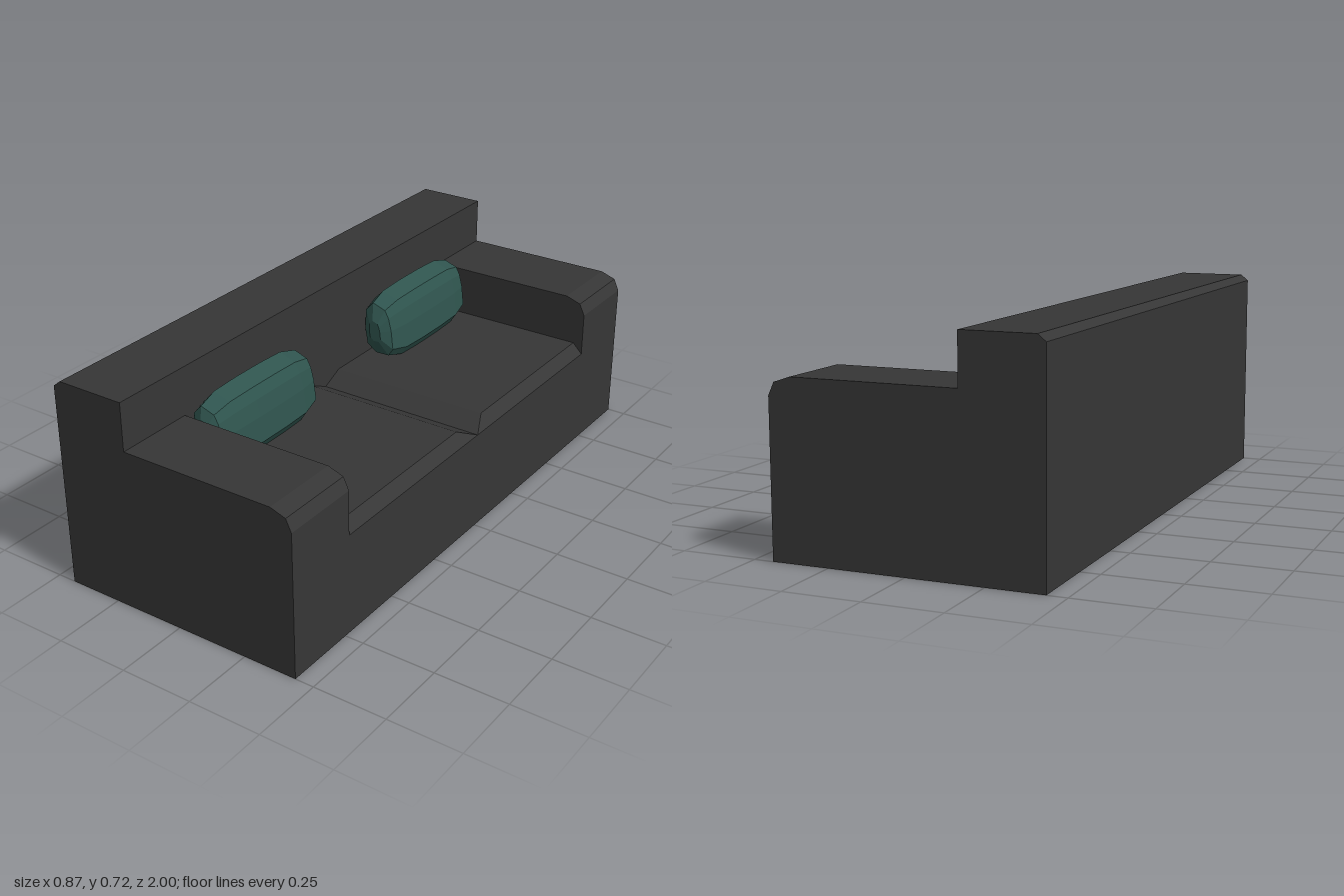
import * as THREE from 'three';

const upholstery = new THREE.MeshStandardMaterial({ color: 0x363636, flatShading: true });
upholstery.name = 'charcoal upholstery';
const teal = new THREE.MeshStandardMaterial({ color: 0x2f544e, flatShading: true });
teal.name = 'dark teal fabric';

const BACK = -0.436, FRONT = 0.436, BACK_FACE = -0.173, ARM = 0.727, SEAT = 0.345;

function part(name, geometry, material) {
  const mesh = new THREE.Mesh(geometry, material);
  mesh.name = name;
  return mesh;
}

// Extrudes a side profile (x, y) along z from z0 to z1
function profileAlongZ(points, z0, z1) {
  const shape = new THREE.Shape(points.map(([x, y]) => new THREE.Vector2(x, y)));
  const g = new THREE.ExtrudeGeometry(shape, { depth: z1 - z0, bevelEnabled: false });
  return g.translate(0, 0, z0);
}

// Seat cushion: a box whose top slopes in at the front and at the middle seam
function seatCushion(side) {
  const height = 0.036;
  const g = new THREE.BoxGeometry(FRONT - BACK_FACE, height, ARM);
  g.translate((FRONT + BACK_FACE) / 2, SEAT + height / 2, side * ARM / 2);
  const p = g.attributes.position;
  for (let i = 0; i < p.count; i++) {
    if (p.getY(i) < SEAT + 0.01) continue;
    if (p.getX(i) > 0) p.setX(i, FRONT - 0.035);
    if (Math.abs(p.getZ(i)) < 0.01) p.setZ(i, side * 0.078);
  }
  g.computeVertexNormals();
  return g;
}

// Faceted pillow: one leaning cross-section, scaled ring by ring along z
function pillow() {
  const cx = -0.105, cy = 0.495;
  const section = [
    [-0.032, 0.415], [-0.042, 0.5], [-0.056, 0.555], [-0.075, 0.59], [-0.137, 0.611],
    [-0.174, 0.57], [-0.178, 0.48], [-0.165, 0.41], [-0.12, 0.378], [-0.055, 0.38],
  ];
  const rings = [[-0.262, 0.32], [-0.236, 0.8], [-0.165, 0.97], [-0.06, 1],
    [0.06, 1], [0.165, 0.97], [0.236, 0.8], [0.262, 0.32]];
  const n = section.length, positions = [], index = [];
  for (const [z, s] of rings)
    for (const [x, y] of section) positions.push(cx + (x - cx) * s, cy + (y - cy) * s, z);
  for (let i = 0; i < rings.length - 1; i++)
    for (let j = 0; j < n; j++) {
      const a = i * n + j, b = i * n + (j + 1) % n;
      index.push(a, b, b + n, a, b + n, a + n);
    }
  const last = (rings.length - 1) * n;
  for (let j = 1; j < n - 1; j++) index.push(0, j + 1, j, last, last + j, last + j + 1);
  const g = new THREE.BufferGeometry();
  g.setAttribute('position', new THREE.Float32BufferAttribute(positions, 3));
  g.setIndex(index);
  const flat = g.toNonIndexed();
  flat.computeVertexNormals();
  return flat;
}

export function createModel() {
  const sofa = new THREE.Group();
  sofa.name = 'sofa';

  // Backrest with a chamfered rear top edge
  sofa.add(part('backrest', profileAlongZ([
    [BACK, 0], [BACK_FACE, 0], [BACK_FACE, 0.717], [-0.41, 0.717], [BACK, 0.696],
  ], -1, 1), upholstery));

  // Base under the seat
  const base = new THREE.BoxGeometry(FRONT - BACK_FACE, SEAT, ARM * 2);
  base.translate((FRONT + BACK_FACE) / 2, SEAT / 2, 0);
  sofa.add(part('seatBase', base, upholstery));

  const armProfile = [
    [BACK_FACE, 0], [FRONT, 0], [FRONT, 0.496], [0.417, 0.537], [0.364, 0.555], [BACK_FACE, 0.555],
  ];
  const pillowGeometry = pillow();

  // Arm, seat cushion and pillow on each half
  for (const side of [1, -1]) {
    const label = side > 0 ? 'front' : 'rear';
    const arm = side > 0 ? [ARM, 1] : [-1, -ARM];
    sofa.add(part(label + 'Armrest', profileAlongZ(armProfile, ...arm), upholstery));
    sofa.add(part(label + 'SeatCushion', seatCushion(side), upholstery));
    const cushion = part(label + 'Pillow', pillowGeometry, teal);
    cushion.position.z = side * 0.463;
    sofa.add(cushion);
  }
  return sofa;
}
